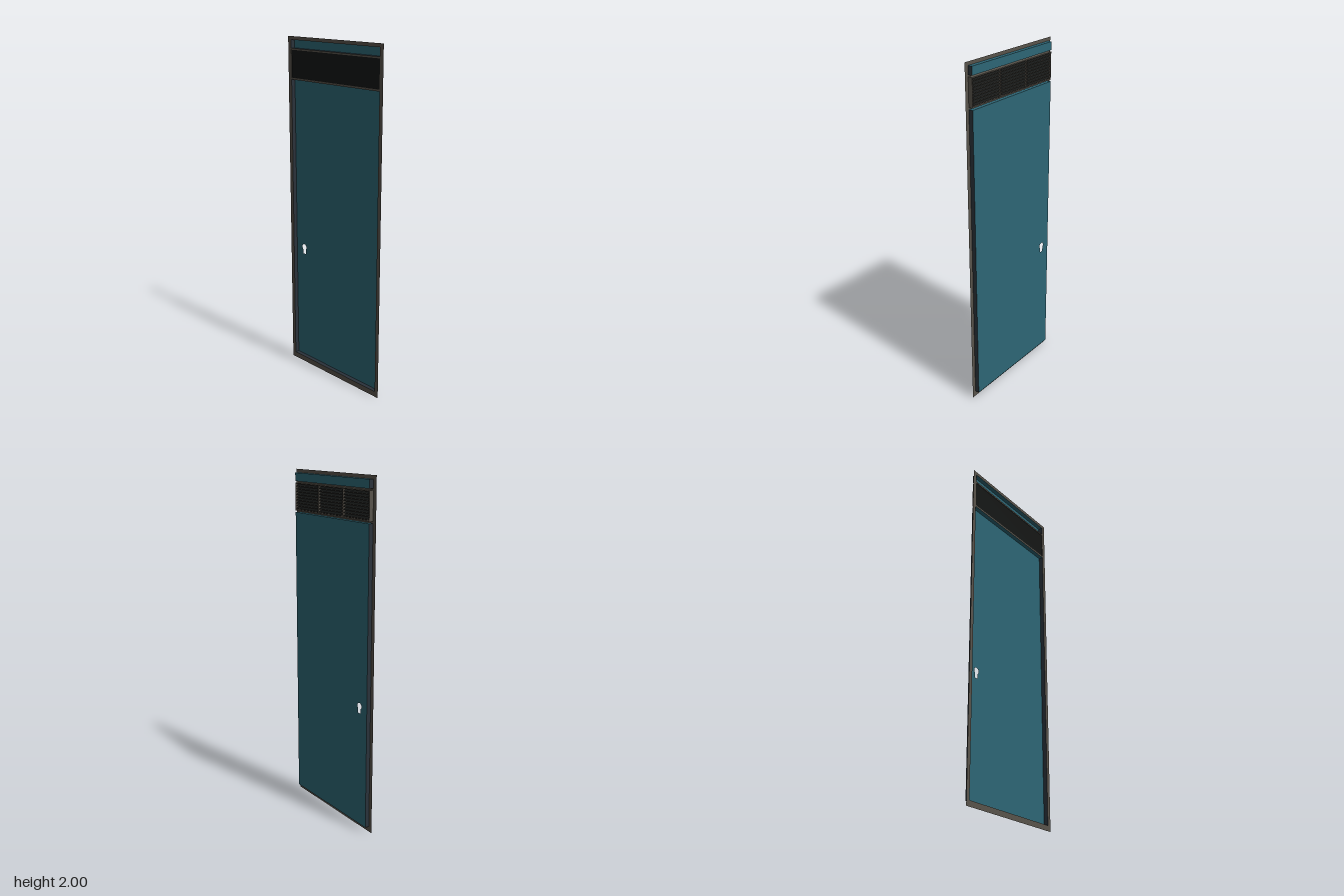
import * as THREE from 'three';

const material = (name, color) => {
  const m = new THREE.MeshStandardMaterial({ color, side: THREE.DoubleSide });
  m.name = name;
  return m;
};

const FRONT = 0.0125, BACK = -0.0125, HALF = 0.35, OUTER = 0.375;

export function createModel() {
  const teal = material('teal paint', 0x2d6675);
  const dark = material('dark edge', 0x2a323a);
  const bronze = material('bronze frame', 0x58534b);
  const black = material('black louvre', 0x131514);

  const model = new THREE.Group();
  model.name = 'ventedDoor';
  // The door is drawn flat in x/y, then turned so that its face looks along +x.
  const door = new THREE.Group();
  door.name = 'door';
  door.rotation.y = Math.PI / 2;
  model.add(door);

  const add = (name, geometry, mat, x = 0, y = 0, z = 0) => {
    const mesh = new THREE.Mesh(geometry, mat);
    mesh.name = name;
    mesh.position.set(x, y, z);
    door.add(mesh);
    return mesh;
  };

  const trace = (path, w, y0, y1) => {
    path.moveTo(-w, y0);
    path.lineTo(w, y0);
    path.lineTo(w, y1);
    path.lineTo(-w, y1);
    path.closePath();
    return path;
  };

  // Shallow walls joining a front skin to the flange behind it
  const walls = (name, y0, y1, sideMat, topMat, bottomMat) => {
    const depth = FRONT - BACK;
    for (const s of [-1, 1]) {
      const side = add(name + 'Side', new THREE.PlaneGeometry(depth, y1 - y0), sideMat, s * HALF, (y0 + y1) / 2);
      side.rotation.y = s * Math.PI / 2;
      const cap = add(name + (s > 0 ? 'Top' : 'Bottom'), new THREE.PlaneGeometry(2 * HALF, depth),
        s > 0 ? topMat : bottomMat, 0, s > 0 ? y1 : y0);
      cap.rotation.x = -s * Math.PI / 2;
    }
  };

  const main = [0.032, 1.756], vent = [1.766, 1.924], header = [1.933, 1.98];

  // Flat flange with an opening for each section
  const flange = trace(new THREE.Shape(), OUTER, 0, 2);
  for (const [a, b] of [main, vent, header]) flange.holes.push(trace(new THREE.Path(), HALF, a, b));
  add('flange', new THREE.ShapeGeometry(flange), bronze, 0, 0, BACK);

  // Main leaf with a keyhole cut through it
  const leaf = trace(new THREE.Shape(), HALF, ...main);
  const key = new THREE.Path();
  const kx = 0.283, ky = 0.748;
  key.moveTo(kx - 0.012, 0.706);
  key.lineTo(kx + 0.012, 0.706);
  key.lineTo(kx + 0.012, ky - 0.014);
  key.absarc(kx, ky, 0.0185, -0.86, Math.PI + 0.86, false);
  key.closePath();
  leaf.holes.push(key);
  add('mainPanel', new THREE.ShapeGeometry(leaf, 20), teal, 0, 0, FRONT);
  walls('mainPanel', ...main, dark, teal, dark);

  // Header strip above the vent
  add('headerPanel', new THREE.ShapeGeometry(trace(new THREE.Shape(), HALF, ...header)), teal, 0, 0, FRONT);
  walls('headerPanel', ...header, dark, teal, dark);

  // Vent casing with a narrow front rim
  const rim = trace(new THREE.Shape(), HALF, ...vent);
  rim.holes.push(trace(new THREE.Path(), HALF - 0.004, vent[0] + 0.008, vent[1] - 0.006));
  add('ventRim', new THREE.ShapeGeometry(rim), bronze, 0, 0, FRONT);
  walls('vent', ...vent, bronze, bronze, bronze);
  add('ventBacking', new THREE.PlaneGeometry(2 * HALF, vent[1] - vent[0]), black, 0, (vent[0] + vent[1]) / 2, -0.009);

  // Sloping louvres, each with a thin bronze nose
  const count = 9, low = vent[0] + 0.008, pitch = (vent[1] - vent[0] - 0.014) / count;
  for (let i = 0; i < count; i++) {
    const y = low + pitch * (i + 0.5);
    const slat = add('louvre', new THREE.BoxGeometry(2 * HALF - 0.008, 0.002, 0.02), black, 0, y, 0.001);
    slat.rotation.x = 0.6;
    add('louvreNose', new THREE.BoxGeometry(2 * HALF - 0.008, 0.003, 0.002), bronze, 0, y - 0.0055, 0.0095);
  }

  // Two uprights dividing the vent into three
  for (const s of [-1, 1]) {
    add('ventUpright', new THREE.BoxGeometry(0.007, vent[1] - vent[0], 0.02), bronze, s * 0.116, (vent[0] + vent[1]) / 2, 0.002);
  }

  return model;
}
